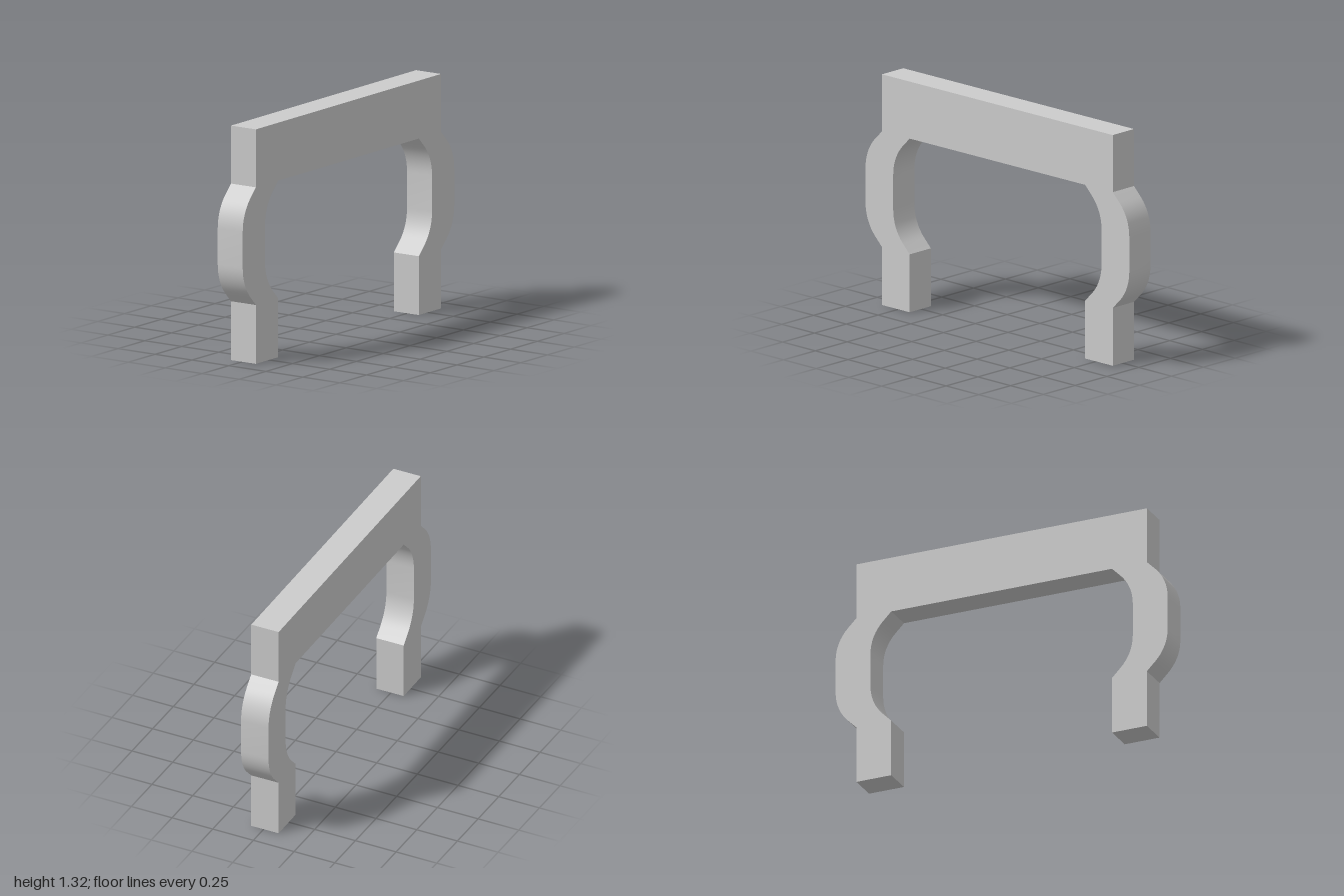
import * as THREE from 'three';
import { toCreasedNormals } from 'three/addons/utils/BufferGeometryUtils.js';

const DEPTH = 0.168, HEIGHT = 1.315, KNEE_LOW = 0.33, KNEE_HIGH = 0.99;
const RADIUS = 0.254, BULGE = 0.125, STEPS = 8;

// One edge of a leg, bottom to top: straight foot, then a rounded outward bulge
function legEdge(x) {
  const pts = [new THREE.Vector2(x, 0), new THREE.Vector2(x, KNEE_LOW)];
  const cx = x + BULGE - RADIUS;
  const straight = BULGE - RADIUS * (1 - Math.SQRT1_2);
  const rise = straight + RADIUS * Math.SQRT1_2;
  const arc = (cy, from, to) => {
    for (let i = 0; i <= STEPS; i++) {
      const a = from + (to - from) * i / STEPS;
      pts.push(new THREE.Vector2(cx + RADIUS * Math.cos(a), cy + RADIUS * Math.sin(a)));
    }
  };
  arc(KNEE_LOW + rise, -Math.PI / 4, 0);
  arc(KNEE_HIGH - rise, 0, Math.PI / 4);
  pts.push(new THREE.Vector2(x, KNEE_HIGH));
  return pts;
}

const mirror = (pts) => pts.map((p) => new THREE.Vector2(-p.x, p.y));

export function createModel() {
  const group = new THREE.Group();
  group.name = 'archFrame';

  // Closed outline of the beam and both legs
  const outer = [...legEdge(0.875), new THREE.Vector2(0.875, HEIGHT)];
  const inner = legEdge(0.665);
  const outline = new THREE.Shape([
    ...outer,
    ...mirror(outer).reverse(),
    ...mirror(inner),
    ...[...inner].reverse(),
  ]);

  const geometry = new THREE.ExtrudeGeometry(outline, { depth: DEPTH, bevelEnabled: false });
  geometry.translate(0, 0, -DEPTH / 2);
  const frame = new THREE.Mesh(
    toCreasedNormals(geometry, 0.4),
    new THREE.MeshStandardMaterial({ color: 0xcccccc }),
  );
  frame.name = 'beamAndLegs';
  frame.rotation.y = 0.0088; // the frame stands slightly turned
  group.add(frame);
  return group;
}
